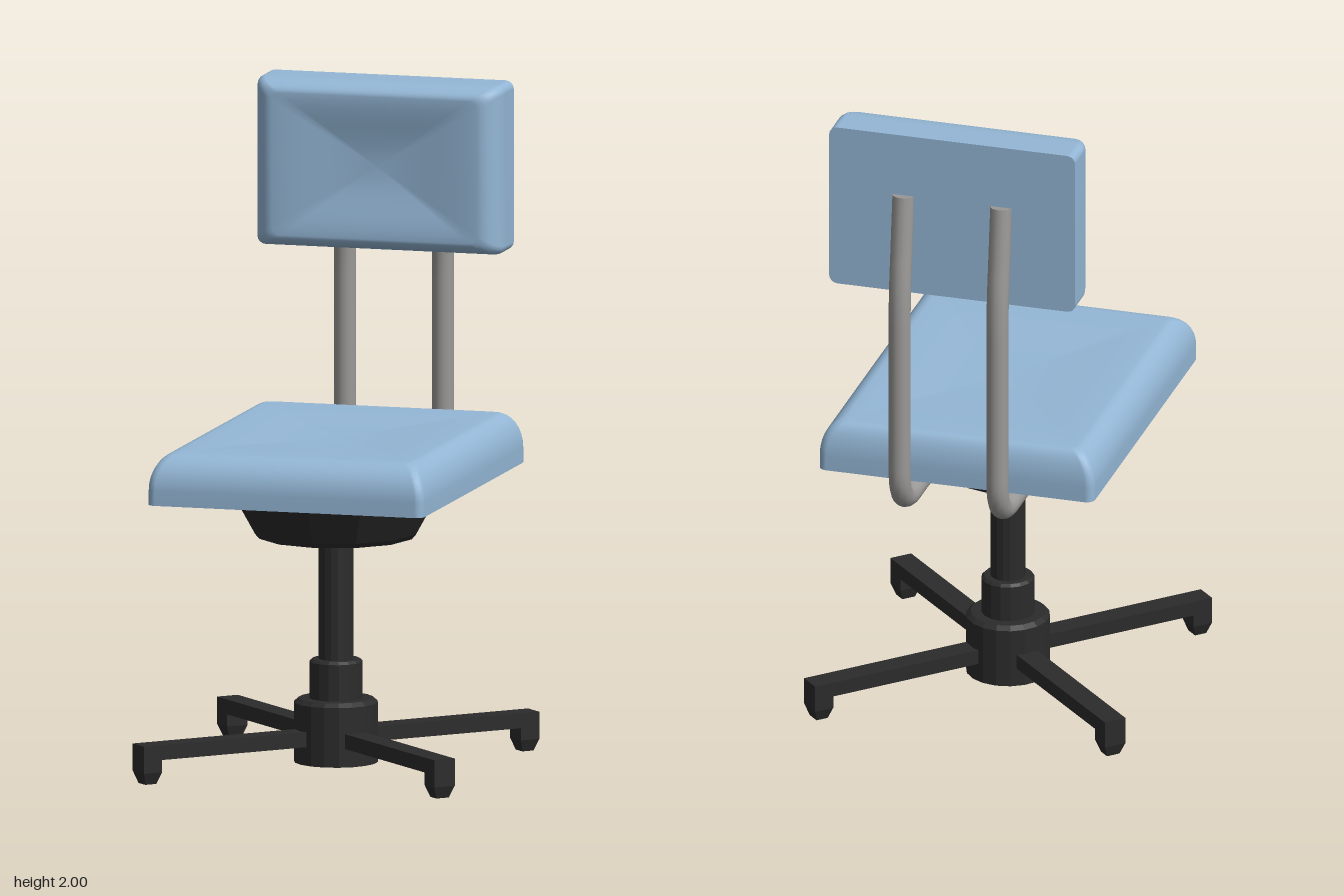
import * as THREE from 'three';

const fabric = new THREE.MeshStandardMaterial({ color: 0x94b7d6 });
const steel = new THREE.MeshStandardMaterial({ color: 0x9b9a98 });
const black = new THREE.MeshStandardMaterial({ color: 0x2b2b2b });
fabric.name = 'blueFabric';
steel.name = 'greySteel';
black.name = 'blackPlastic';

function add(parent, name, geometry, material, x = 0, y = 0, z = 0) {
  const mesh = new THREE.Mesh(geometry, material);
  mesh.name = name;
  mesh.position.set(x, y, z);
  parent.add(mesh);
  return mesh;
}

// Faceted truncated cone standing between two heights
function frustum(parent, name, r0, r1, y0, y1, sides) {
  const g = new THREE.CylinderGeometry(r1, r0, y1 - y0, sides).toNonIndexed();
  g.computeVertexNormals();
  return add(parent, name, g, black, 0, (y0 + y1) / 2, 0);
}

// Padded slab: flat bottom, upright wall, rounded shoulder and a dished top.
// inset = how far the shoulder draws in at the sides, front (+z) and back (-z).
function cushion(w, d, h, wall, inset, dish) {
  const pos = [], index = [], r = 0.025, arc = 4;
  const outline = (k, scale, y) => {
    const x1 = w / 2 - inset.side * k;
    const z0 = -d / 2 + inset.back * k, z1 = d / 2 - inset.front * k;
    const mid = (z0 + z1) / 2, hz = (z1 - z0) / 2;
    for (let c = 0; c < 4; c++) {
      const sx = c === 0 || c === 3 ? 1 : -1, sz = c < 2 ? 1 : -1;
      for (let i = 0; i <= arc; i++) {
        const a = (c + i / arc) * Math.PI / 2;
        pos.push((sx * (x1 - r) + r * Math.cos(a)) * scale, y,
          mid + (sz * (hz - r) + r * Math.sin(a)) * scale);
      }
    }
  };
  const n = 4 * (arc + 1);
  let rings = 0;
  const ring = (...p) => { outline(...p); rings++; };
  ring(0, 1, 0);
  for (let i = 0; i <= 8; i++) {
    const a = i / 8 * Math.PI / 2;
    ring(1 - Math.cos(a), 1, wall + (h - wall) * Math.sin(a));
  }
  for (let i = 1; i <= 10; i++) {
    const s = 1 - i / 10;
    ring(1, s, h - dish * (1 - s * s) ** 2);
  }
  for (let k = 0; k < rings - 1; k++) {
    for (let j = 0; j < n; j++) {
      const a = k * n + j, b = k * n + (j + 1) % n;
      index.push(a, a + n, b, b, a + n, b + n);
    }
  }
  // Separate underside keeps the lower edge crisp
  const base = pos.length / 3;
  outline(0, 1, 0);
  pos.push(0, 0, 0);
  for (let j = 0; j < n; j++) index.push(base + n, base + j, base + (j + 1) % n);
  const g = new THREE.BufferGeometry();
  g.setAttribute('position', new THREE.Float32BufferAttribute(pos, 3));
  g.setIndex(index);
  g.computeVertexNormals();
  return g;
}

export function createModel() {
  const model = new THREE.Group();
  model.name = 'officeChair';
  const chair = new THREE.Group();
  chair.name = 'turnedChair';
  chair.position.x = -0.01;
  chair.rotation.y = THREE.MathUtils.degToRad(-66.4);
  model.add(chair);

  // Central column
  frustum(chair, 'hub', 0.126, 0.126, 0.02, 0.2, 18);
  frustum(chair, 'hubBevel', 0.126, 0.112, 0.2, 0.212, 18);
  frustum(chair, 'collar', 0.08, 0.08, 0.21, 0.322, 16);
  frustum(chair, 'collarBevel', 0.08, 0.072, 0.322, 0.33, 16);
  frustum(chair, 'gasColumn', 0.052, 0.052, 0.32, 0.71, 16);
  frustum(chair, 'seatMountRim', 0.235, 0.248, 0.7, 0.715, 12);
  frustum(chair, 'seatMount', 0.248, 0.33, 0.715, 0.862, 12);

  // Four legs with tapered feet
  for (let i = 0; i < 4; i++) {
    const leg = new THREE.Group();
    leg.name = 'leg' + (i + 1);
    leg.rotation.y = Math.PI / 4 + i * Math.PI / 2;
    chair.add(leg);
    add(leg, 'legBar', new THREE.BoxGeometry(0.07, 0.045, 0.672), black, 0, 0.0985, 0.336);
    add(leg, 'footBlock', new THREE.BoxGeometry(0.07, 0.045, 0.062), black, 0, 0.0615, 0.641);
    const tip = frustum(leg, 'footTip', 0.03, 0.0495, 0.003, 0.04, 4);
    tip.geometry.rotateY(Math.PI / 4);
    tip.scale.z = 0.062 / 0.07;
    tip.position.z = 0.641;
  }

  // Seat
  add(chair, 'seat',
    cushion(0.855, 1.1, 0.153, 0.045, { side: 0.07, front: 0.09, back: 0.045 }, 0.015),
    fabric, 0, 0.858, 0);

  // Backrest
  const back = add(chair, 'backrest',
    cushion(0.765, 0.51, 0.175, 0.09, { side: 0.065, front: 0.04, back: 0.04 }, 0.03),
    fabric, 0, 1.745, -0.582);
  back.rotation.x = Math.PI / 2;

  // Bent support tubes
  for (const side of [-1, 1]) {
    const v = (y, z) => new THREE.Vector3(side * 0.152, y, z);
    const path = new THREE.CurvePath();
    path.add(new THREE.LineCurve3(v(0.8, -0.2), v(0.8, -0.5)));
    path.add(new THREE.QuadraticBezierCurve3(v(0.8, -0.5), v(0.8, -0.62), v(0.92, -0.62)));
    path.add(new THREE.LineCurve3(v(0.92, -0.62), v(1.4, -0.62)));
    path.add(new THREE.QuadraticBezierCurve3(v(1.4, -0.62), v(1.5, -0.62), v(1.6, -0.605)));
    path.add(new THREE.LineCurve3(v(1.6, -0.605), v(1.805, -0.58)));
    const name = side > 0 ? 'leftSupportTube' : 'rightSupportTube';
    add(chair, name, new THREE.TubeGeometry(path, 60, 0.033, 14), steel);
    const cap = add(chair, name + 'Cap', new THREE.CircleGeometry(0.033, 14), steel,
      side * 0.152, 1.805, -0.58);
    cap.rotation.x = -Math.PI / 2 + 0.12;
  }
  return model;
}
